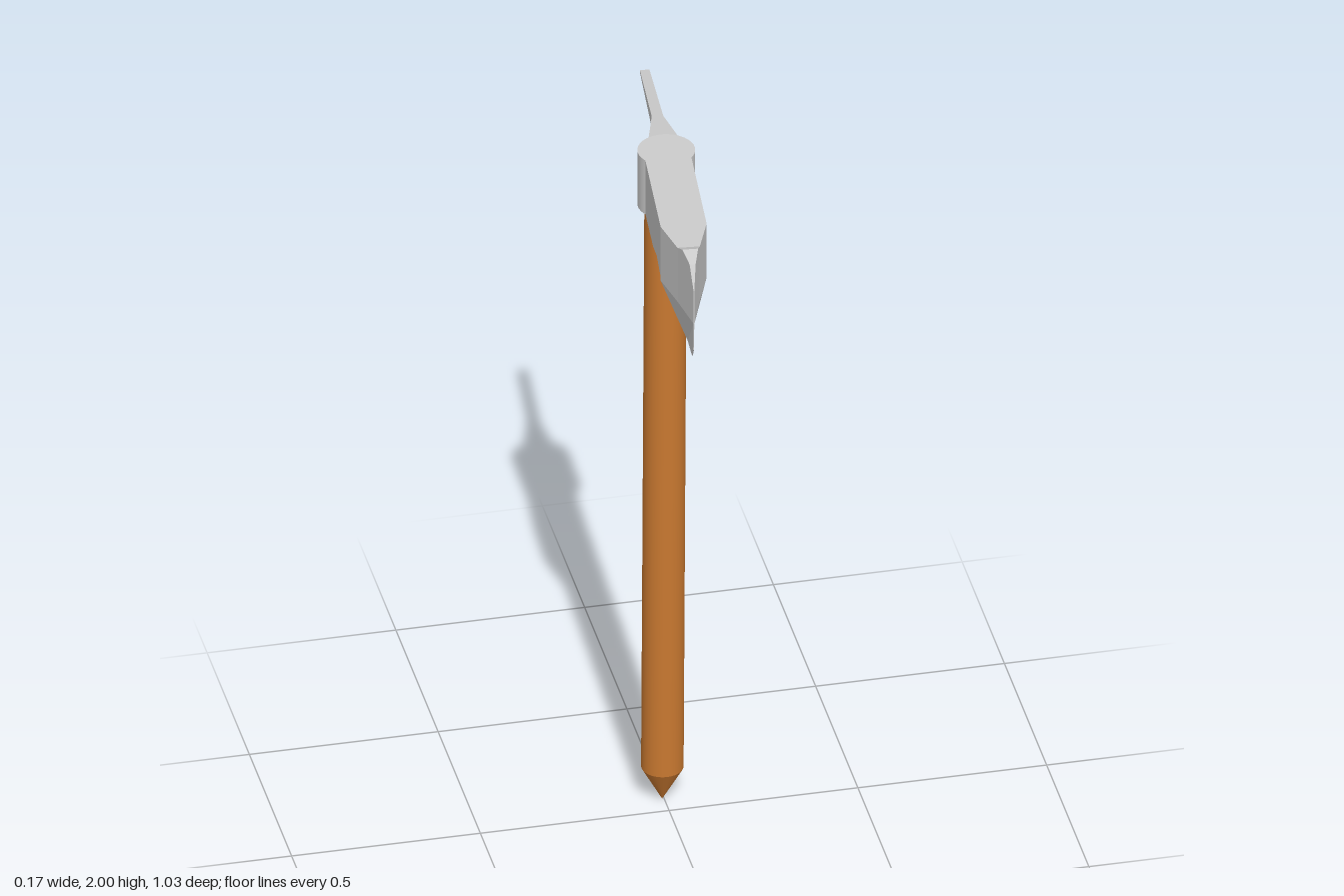
import * as THREE from 'three';

const grey = new THREE.MeshStandardMaterial({ color: 0xcccccc });
const wood = new THREE.MeshStandardMaterial({ color: 0xc87830 });

// Plate drawn as a [z, y] outline, its thickness given by halfWidth(z, y)
function slab(name, outline, halfWidth) {
  const shape = new THREE.Shape(outline.map(([z, y]) => new THREE.Vector2(z, y)));
  const geo = new THREE.ExtrudeGeometry(shape, { depth: 2, bevelEnabled: false });
  geo.translate(0, 0, -1).rotateY(-Math.PI / 2);
  const p = geo.attributes.position;
  for (let i = 0; i < p.count; i++) {
    p.setX(i, p.getX(i) * halfWidth(p.getZ(i), p.getY(i)));
  }
  geo.computeVertexNormals();
  const mesh = new THREE.Mesh(geo, grey);
  mesh.name = name;
  return mesh;
}

// Piecewise linear interpolation through [position, value] stops
function ramp(t, stops) {
  if (t <= stops[0][0]) return stops[0][1];
  for (let i = 1; i < stops.length; i++) {
    const [a, va] = stops[i - 1], [b, vb] = stops[i];
    if (t <= b) return va + (vb - va) * (t - a) / (b - a);
  }
  return stops[stops.length - 1][1];
}

export function createModel() {
  const model = new THREE.Group();
  model.name = 'axe';

  // Handle with a pointed foot, leaning very slightly
  const handle = new THREE.Group();
  handle.name = 'handle';
  handle.position.set(-0.005, 0, -0.06);
  handle.rotation.z = -0.005;
  const shaft = new THREE.Mesh(new THREE.CylinderGeometry(0.055, 0.055, 1.8, 32), wood);
  shaft.name = 'shaft';
  shaft.position.y = 1.0;
  const foot = new THREE.Mesh(new THREE.ConeGeometry(0.055, 0.1, 32, 1, true), wood);
  foot.name = 'pointedFoot';
  foot.rotation.x = Math.PI;
  foot.position.y = 0.05;
  handle.add(shaft, foot);
  model.add(handle);

  // Head, turned a little about the handle
  const head = new THREE.Group();
  head.name = 'head';
  head.position.set(0.007, 0, -0.065);
  head.rotation.y = -0.097;
  model.add(head);

  const collar = new THREE.Mesh(new THREE.CylinderGeometry(0.075, 0.075, 0.165, 32), grey);
  collar.name = 'collar';
  collar.position.y = 1.9025;
  head.add(collar);

  // Blade: thins towards the cutting edge in front and towards the beard below
  const bladeWidth = (z, y) =>
    ramp(z, [[0.365, 0.06], [0.475, 0.028], [0.582, 0.001]]) *
    ramp(y, [[1.7, 0.1], [1.82, 1]]);
  head.add(
    slab('bladeBody', [[0, 1.82], [0.21, 1.825], [0.285, 1.845], [0.365, 1.832],
      [0.365, 1.985], [0, 1.985]], bladeWidth),
    slab('bladeCheek', [[0.365, 1.82], [0.475, 1.82], [0.475, 1.985], [0.365, 1.985]], bladeWidth),
    slab('bladeCrest', [[0.475, 1.985], [0.505, 2.0], [0.555, 1.985], [0.582, 1.92],
      [0.582, 1.82], [0.475, 1.82]], bladeWidth),
    slab('crestRise', [[0.46, 1.98], [0.505, 2.0], [0.505, 1.98]], bladeWidth),
    slab('beardEdge', [[0.475, 1.82], [0.582, 1.82], [0.575, 1.735], [0.55, 1.702],
      [0.475, 1.7]], bladeWidth),
    slab('beard', [[0.475, 1.82], [0.475, 1.7], [0.365, 1.71], [0.365, 1.82]], bladeWidth),
    // Notched teeth on the back of the beard
    slab('beardTeeth', [[0.365, 1.832], [0.34, 1.812], [0.362, 1.79], [0.33, 1.775],
      [0.364, 1.752], [0.33, 1.73], [0.365, 1.71], [0.39, 1.708], [0.39, 1.832]], bladeWidth),
  );

  // Rear spike: upper plate in two tapers, with a keel below
  const spikeWidth = z => ramp(z, [[-0.455, 0.0125], [-0.185, 0.015], [-0.065, 0.038]]);
  head.add(
    slab('spikeTip', [[-0.185, 1.971], [-0.455, 1.942], [-0.455, 1.936], [-0.185, 1.936]], spikeWidth),
    slab('spikeRoot', [[-0.03, 1.985], [-0.065, 1.984], [-0.185, 1.971], [-0.185, 1.936],
      [-0.065, 1.93], [-0.03, 1.93]], spikeWidth),
    slab('spikeKeel', [[-0.04, 1.936], [-0.185, 1.936], [-0.09, 1.88], [-0.08, 1.822],
      [-0.04, 1.822]], (z, y) => spikeWidth(z) * ramp(y, [[1.822, 0.15], [1.936, 1]])),
  );

  return model;
}
